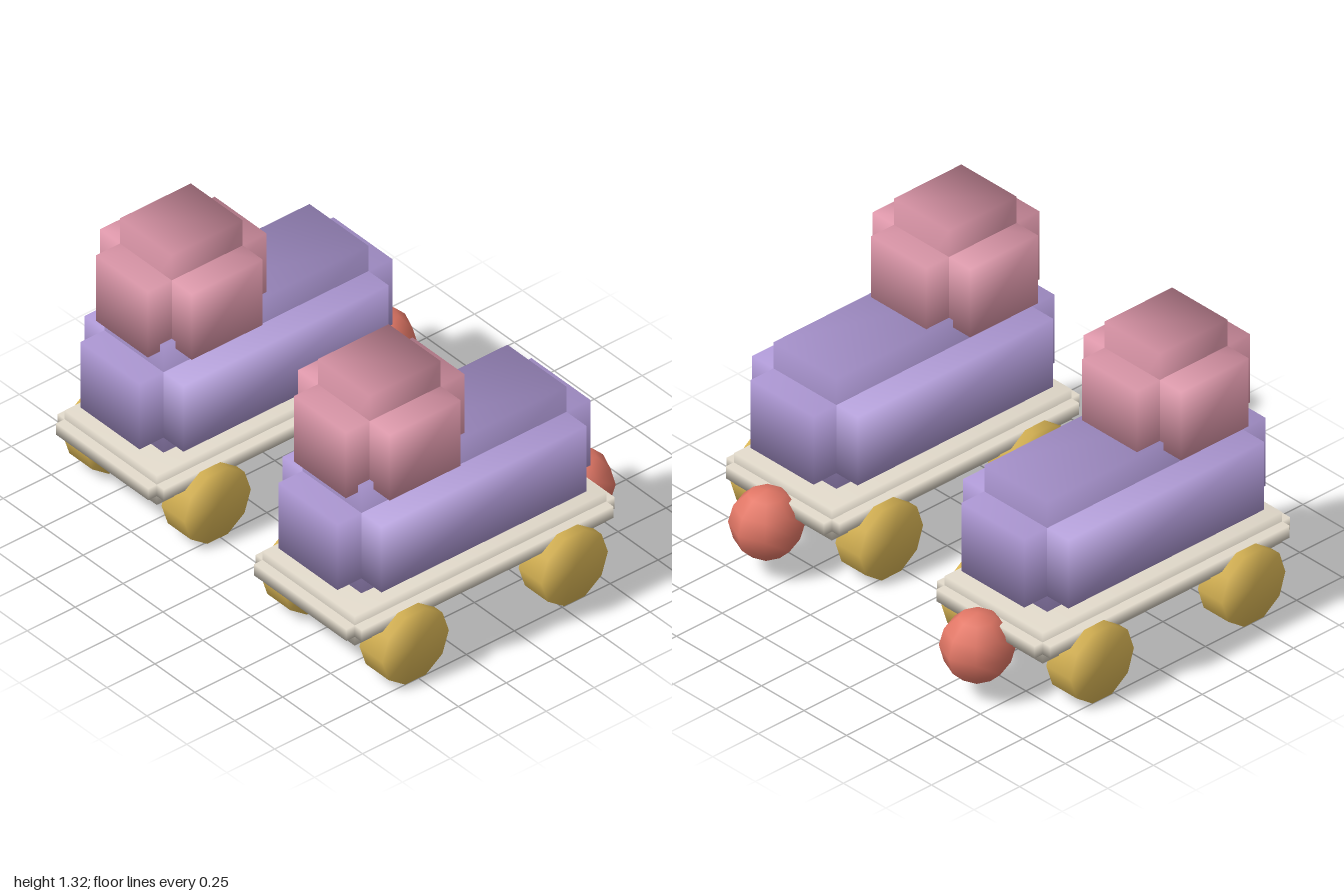
import * as THREE from 'three';
import { mergeVertices, mergeGeometries } from 'three/addons/utils/BufferGeometryUtils.js';

const material = (name, color) => {
  const m = new THREE.MeshStandardMaterial({ color });
  m.name = name;
  return m;
};

// Weld shared corners so shading flows smoothly round the form
function soften(geometry) {
  geometry.deleteAttribute('normal');
  geometry.deleteAttribute('uv');
  const welded = mergeVertices(geometry);
  welded.computeVertexNormals();
  return welded;
}

// Block with stepped edges: three crossing boxes, each full length on one axis
function steppedBlock(w, h, d, step) {
  const s = 2 * step;
  return mergeGeometries([
    [w, h - s, d - s],
    [w - s, h, d - s],
    [w - s, h - s, d],
  ].map(([x, y, z]) => soften(new THREE.BoxGeometry(x, y, z))));
}

export function createModel() {
  const model = new THREE.Group();
  model.name = 'rollerSkates';

  const lilac = material('lilac', 0xb39ddb);
  const pink = material('pink', 0xe099ac);
  const cream = material('cream', 0xe2dacb);
  const gold = material('gold', 0xe0bb58);
  const coral = material('coral', 0xe27766);

  const bootGeo = steppedBlock(0.62, 0.575, 1.32, 0.125);
  const cuffGeo = steppedBlock(0.575, 0.575, 0.62, 0.125);
  const plateGeo = steppedBlock(0.665, 0.145, 1.4, 0.044);
  const wheelGeo = soften(new THREE.CylinderGeometry(0.1735, 0.1735, 0.143, 10).rotateZ(Math.PI / 2));
  const stopperGeo = new THREE.SphereGeometry(0.155, 8, 6);

  for (const side of [-1, 1]) {
    const skate = new THREE.Group();
    skate.name = side < 0 ? 'rightSkate' : 'leftSkate';
    skate.position.x = side * 0.62;
    model.add(skate);

    const add = (name, geometry, mat, x, y, z) => {
      const mesh = new THREE.Mesh(geometry, mat);
      mesh.name = name;
      mesh.position.set(x, y, z);
      skate.add(mesh);
    };

    // Boot, ankle cuff and sole plate
    add('boot', bootGeo, lilac, 0, 0.6125, 0.1);
    add('cuff', cuffGeo, pink, 0, 1.0275, 0.388);
    add('solePlate', plateGeo, cream, 0, 0.3025, 0.1);
    add('toeStopper', stopperGeo, coral, 0, 0.22, -0.645);

    // Four wheels
    for (const x of [-1, 1]) {
      for (const [end, z] of [['front', 0.515], ['back', -0.315]]) {
        add(`${end}${x < 0 ? 'Right' : 'Left'}Wheel`, wheelGeo, gold, x * 0.3085, 0.165, z);
      }
    }
  }
  return model;
}
